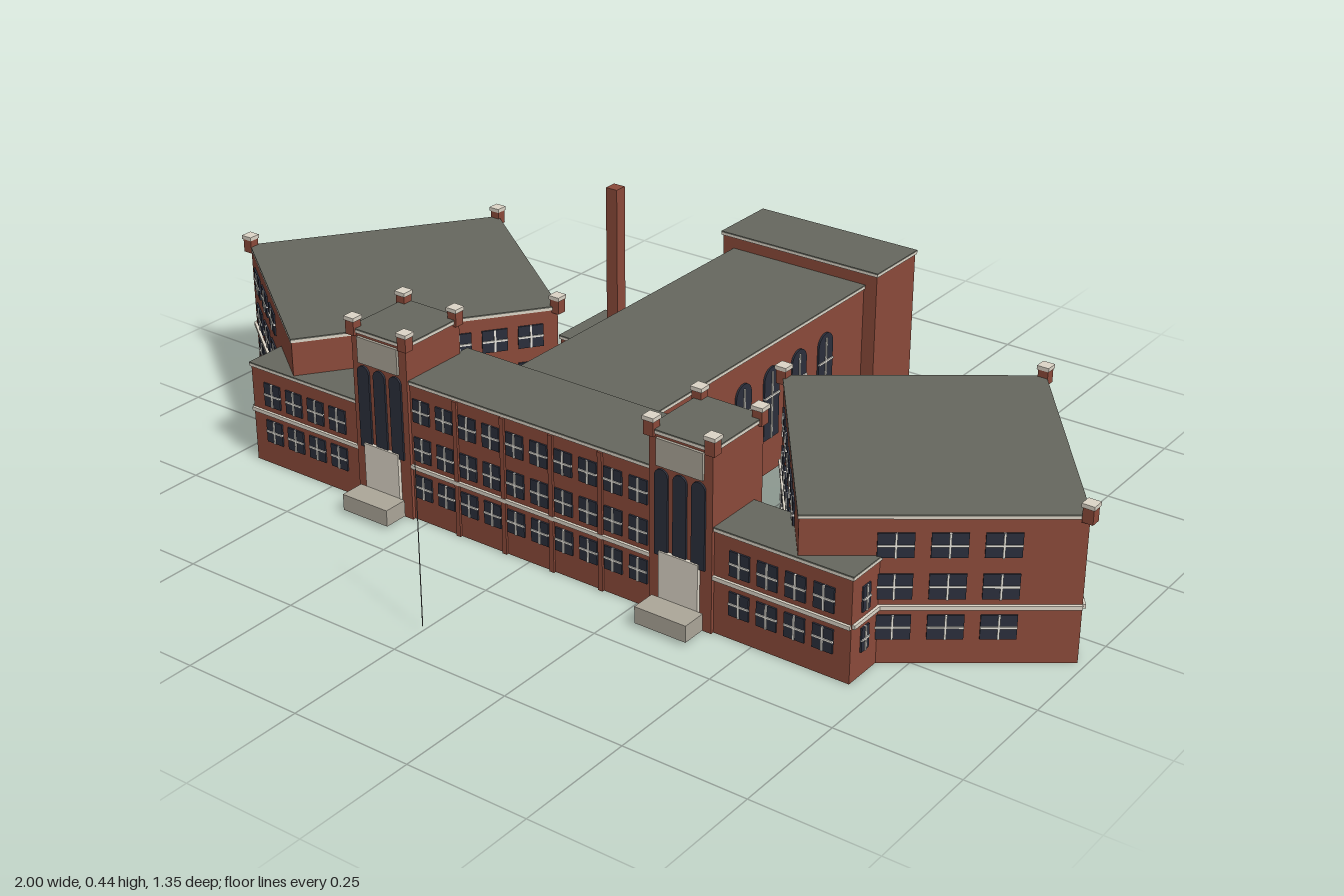
import * as THREE from 'three';
import { mergeGeometries } from 'three/addons/utils/BufferGeometryUtils.js';

const material = (name, color) => {
  const m = new THREE.MeshStandardMaterial({ color });
  m.name = name;
  return m;
};

export function createModel() {
  const model = new THREE.Group();
  model.name = 'schoolBuilding';
  const brick = material('brick', 0x8b4a3a);
  brick.side = THREE.DoubleSide; // walls are open shells
  const roofGrey = material('roofGrey', 0x66675e);
  const stone = material('paleStone', 0xdcd5c7);
  const stepGrey = material('stepGrey', 0xaca699);
  const glass = material('darkGlass', 0x2b2f3c);
  const frame = material('windowFrame', 0xeeebe3);
  const metal = material('poleMetal', 0x6a6a6a);

  const add = (parent, name, geometry, mat) => {
    const mesh = new THREE.Mesh(geometry, mat);
    mesh.name = name;
    parent.add(mesh);
    return mesh;
  };
  const group = (parent, name, x = 0, y = 0, z = 0, turn = 0) => {
    const g = new THREE.Group();
    g.name = name;
    g.position.set(x, y, z);
    g.rotation.y = turn;
    parent.add(g);
    return g;
  };
  // Box given by its lower and upper corners
  const boxGeo = (x0, x1, y0, y1, z0, z1) =>
    new THREE.BoxGeometry(x1 - x0, y1 - y0, z1 - z0)
      .translate((x0 + x1) / 2, (y0 + y1) / 2, (z0 + z1) / 2);
  const box = (parent, name, mat, ...b) => add(parent, name, boxGeo(...b), mat);

  // Brick shell without a floor, with a pale coping line and a flat roof
  const block = (parent, name, x0, x1, h, z0, z1, lip = 0.003) => {
    const g = group(parent, name);
    const shell = boxGeo(x0, x1, 0, h - 0.009, z0, z1);
    const index = Array.from(shell.index.array);
    index.splice(18, 6); // drop the bottom face
    shell.setIndex(index);
    shell.clearGroups();
    add(g, 'walls', shell, brick);
    box(g, 'coping', stone, x0 - lip, x1 + lip, h - 0.0085, h - 0.003, z0 - lip, z1 + lip);
    box(g, 'roof', roofGrey, x0 - lip, x1 + lip, h - 0.003, h, z0 - lip, z1 + lip);
    return g;
  };
  // Parapet post with a stone cap
  const post = (parent, x, y, z, turn = 0) => {
    const g = group(parent, 'parapetPost', x, y, z, turn);
    box(g, 'postShaft', brick, -0.0105, 0.0105, -0.012, 0.017, -0.0105, 0.0105);
    box(g, 'postCap', stone, -0.0125, 0.0125, 0.017, 0.025, -0.0125, 0.0125);
  };

  // Grid of windows on a wall facing local +z
  const ROWS = [[0.05, 0.098], [0.13, 0.18], [0.212, 0.26]];
  const windows = (parent, xs, w, rows) => {
    const panes = [], bars = [];
    for (const x of xs) for (const [y0, y1] of rows) {
      const ym = (y0 + y1) / 2;
      panes.push(boxGeo(x - w / 2, x + w / 2, y0, y1, 0.0005, 0.004));
      bars.push(boxGeo(x - 0.002, x + 0.002, y0, y1, 0.001, 0.006));
      bars.push(boxGeo(x - w / 2, x + w / 2, ym - 0.002, ym + 0.002, 0.001, 0.006));
    }
    add(parent, 'windowPanes', mergeGeometries(panes), glass);
    add(parent, 'windowBars', mergeGeometries(bars), frame);
  };
  const spread = (n, pitch, centre = 0) =>
    Array.from({ length: n }, (_, i) => centre + (i - (n - 1) / 2) * pitch);
  const archedWindow = (parent, x, y0, y1, w, cross) => {
    const g = group(parent, 'archedWindow', x, 0, 0);
    const s = new THREE.Shape();
    s.moveTo(-w / 2, y0);
    s.lineTo(w / 2, y0);
    s.lineTo(w / 2, y1 - w / 2);
    s.absarc(0, y1 - w / 2, w / 2, 0, Math.PI, false);
    s.closePath();
    add(g, 'archedPane', new THREE.ExtrudeGeometry(s,
      { depth: 0.004, bevelEnabled: false, curveSegments: 8 }), glass).position.z = 0.0005;
    if (!cross) return;
    const ym = y0 + (y1 - y0) * 0.6;
    box(g, 'archedBar', frame, -0.002, 0.002, y0, y1 - 0.01, 0.001, 0.007);
    box(g, 'archedCrossbar', frame, -w / 2, w / 2, ym - 0.002, ym + 0.002, 0.001, 0.007);
  };
  const belt = (parent, x0, x1) =>
    box(parent, 'beltCourse', stone, x0, x1, 0.11, 0.118, 0.0005, 0.006);

  // Central front range
  block(model, 'frontRange', -0.285, 0.285, 0.295, 0.2, 0.372);
  const front = group(model, 'frontFacade', 0, 0, 0.372);
  windows(front, spread(10, 0.0565), 0.04, ROWS);
  belt(front, -0.285, 0.285);
  for (const x of spread(4, 0.113))
    box(front, 'pilaster', brick, x - 0.005, x + 0.005, 0, 0.285, 0.0005, 0.005);

  // Rear hall with tall arched windows, and the stage house behind
  block(model, 'rearHall', -0.16, 0.16, 0.289, -0.53, 0.2);
  block(model, 'stageHouse', -0.19, 0.19, 0.322, -0.675, -0.525);
  for (const s of [-1, 1]) {
    const side = group(model, 'hallSide', s * 0.16, 0, 0, s * Math.PI / 2);
    const first = s > 0 ? 0.38 : 0.405;
    for (let i = 0; i < 6; i++) archedWindow(side, s * (first - i * 0.097), 0.08, 0.235, 0.052, true);
  }

  for (const s of [-1, 1]) {
    // Entrance tower
    const tower = group(model, 'entranceTower', s * 0.35);
    block(tower, 'towerBody', -0.068, 0.068, 0.372, 0.225, 0.379);
    for (const x of [-0.065, 0.065]) for (const z of [0.232, 0.376]) post(tower, x, 0.37, z);
    const face = group(tower, 'towerFront', 0, 0, 0.379);
    for (const x of [-0.04, 0, 0.04]) archedWindow(face, x, 0.125, 0.298, 0.029, false);
    box(face, 'signPanel', stepGrey, -0.05, 0.05, 0.304, 0.358, 0.0005, 0.006);
    box(face, 'doorSurround', stone, -0.043, 0.043, 0.03, 0.135, 0.0005, 0.008);
    box(tower, 'entranceSteps', stepGrey, -0.056, 0.056, 0.008, 0.042, 0.388, 0.44);

    // Low link between tower and angled wing
    const link = block(model, 'linkRange', s * 0.56 - 0.142, s * 0.56 + 0.142, 0.215, 0.253, 0.372);
    const linkFront = group(link, 'linkFront', s * 0.56, 0, 0.372);
    windows(linkFront, spread(4, 0.058), 0.042, ROWS.slice(0, 2));
    belt(linkFront, -0.142, 0.142);
    const linkEnd = group(link, 'linkEnd', s * 0.702, 0, 0.31, s * Math.PI / 2);
    windows(linkEnd, [-s * 0.02], 0.024, ROWS.slice(0, 2));
    belt(linkEnd, -0.06, 0.06);

    // Angled classroom wing
    const W = 0.246, D = 0.268, turn = s * 0.635;
    const wing = group(model, 'classroomWing', s * 0.628, 0, 0.008, turn);
    block(wing, 'wingBody', -W, W, 0.295, -D, D, 0.002);
    for (const [x, z] of [[s, -1], [s, 1], [-s, -1]]) post(wing, x * W, 0.293, z * D, -turn);
    const walls = [
      ['wingFront', 0, D, 0, W, spread(3, 0.092, s > 0 ? 0.012 : -0.08), 0.064],
      ['wingBack', 0, -D, Math.PI, W, spread(5, 0.08), 0.052],
      ['wingOuterSide', s * W, 0, s * Math.PI / 2, D, spread(6, 0.075, -s * 0.007), 0.052],
      ['wingInnerSide', -s * W, 0, -s * Math.PI / 2, D, s > 0 ? spread(5, 0.08, -0.02) : spread(4, 0.074, 0.1), 0.052],
    ];
    for (const [name, x, z, angle, half, xs, w] of walls) {
      const wall = group(wing, name, x, 0, z, angle);
      windows(wall, xs, w, ROWS);
      belt(wall, -half, half);
    }
  }

  // Boiler house and chimney
  block(model, 'boilerHouse', -0.442, -0.295, 0.1, -0.441, -0.284);
  box(model, 'chimney', brick, -0.358, -0.33, 0.09, 0.44, -0.365, -0.337);

  // Flagpole on the front lawn
  add(model, 'flagpole', new THREE.CylinderGeometry(0.0008, 0.001, 0.33, 6), metal).position.set(0, 0.175, 0.674);
  return model;
}
